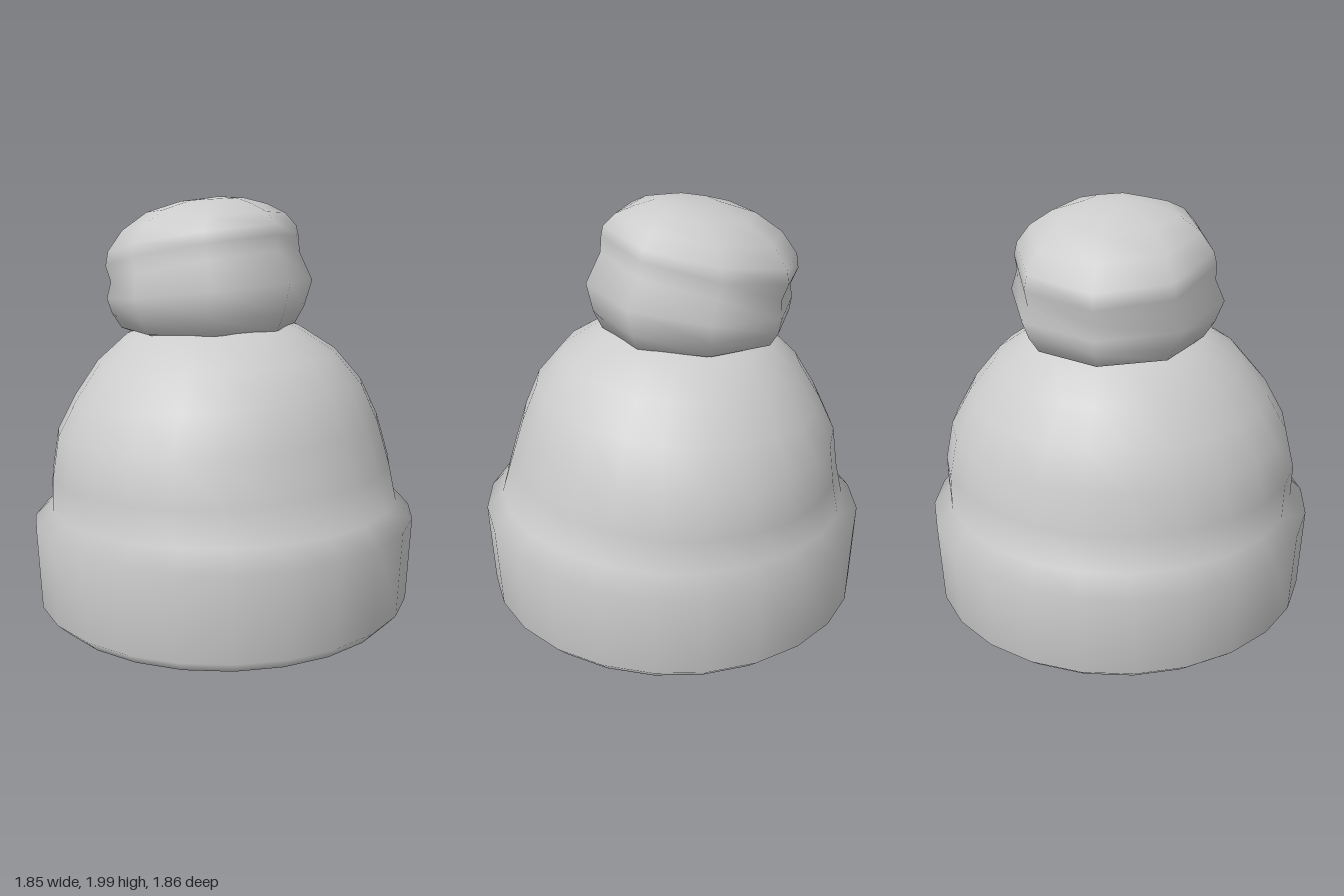
import * as THREE from 'three';

// Skin a stack of tilted elliptical rings: [centreX, y, radiusX, radiusZ, slope along x].
// Radius 0 collapses a ring to a single pole point.
function skinRings(rings, sides) {
  const positions = [], index = [], starts = [];
  for (const [cx, y, rx, rz, slope] of rings) {
    starts.push(positions.length / 3);
    const count = rx === 0 ? 1 : sides;
    for (let i = 0; i < count; i++) {
      const a = (i / sides) * Math.PI * 2;
      const dx = Math.cos(a) * rx;
      positions.push(cx + dx, y + dx * slope, Math.sin(a) * rz);
    }
  }
  for (let r = 0; r < rings.length - 1; r++) {
    const lowPole = rings[r][2] === 0, highPole = rings[r + 1][2] === 0;
    for (let i = 0; i < sides; i++) {
      const j = (i + 1) % sides;
      const a = starts[r] + (lowPole ? 0 : i), b = starts[r] + (lowPole ? 0 : j);
      const c = starts[r + 1] + (highPole ? 0 : i), d = starts[r + 1] + (highPole ? 0 : j);
      if (!highPole) index.push(a, c, d);
      if (!lowPole) index.push(a, d, b);
    }
  }
  const geometry = new THREE.BufferGeometry();
  geometry.setAttribute('position', new THREE.Float32BufferAttribute(positions, 3));
  geometry.setIndex(index);
  geometry.computeVertexNormals();
  return geometry;
}

export function createModel() {
  const group = new THREE.Group();
  group.name = 'bobbleHat';
  const wool = new THREE.MeshStandardMaterial({ color: 0xcccccc });
  wool.name = 'light grey wool';

  // Cap: bowl-shaped lining downwards, round the lip, up the cuff and over the crown
  const cap = new THREE.Mesh(skinRings([
    [0, 0.47, 0, 0, 0],
    [0, 0.44, 0.30, 0.30, 0.01],
    [0, 0.36, 0.52, 0.52, 0.01],
    [0, 0.23, 0.67, 0.67, 0.01],
    [0, 0.06, 0.75, 0.75, 0.01],
    [0, 0.015, 0.79, 0.79, 0.006],
    [0, 0.012, 0.85, 0.85, 0.008],
    [-0.005, 0.07, 0.91, 0.91, 0.01],
    [-0.003, 0.47, 0.927, 0.93, 0.022],
    [-0.003, 0.555, 0.845, 0.85, 0.025],
    [-0.01, 0.72, 0.80, 0.855, 0.03],
    [-0.03, 0.92, 0.755, 0.81, 0.04],
    [-0.03, 1.09, 0.68, 0.715, 0.06],
    [-0.045, 1.25, 0.565, 0.585, 0.06],
    [-0.07, 1.37, 0.41, 0.42, 0.06],
    [-0.08, 1.44, 0.2, 0.2, 0.05],
    [-0.08, 1.46, 0, 0, 0],
  ], 24), wool);
  cap.name = 'capWithCuff';
  group.add(cap);

  // Eight-sided lopsided bobble with a soft groove round its middle
  const bobble = new THREE.Mesh(skinRings([
    [-0.09, 1.345, 0, 0, 0],
    [-0.09, 1.35, 0.30, 0.30, 0.08],
    [-0.10, 1.385, 0.43, 0.41, 0.035],
    [-0.10, 1.46, 0.47, 0.46, 0.05],
    [-0.09, 1.56, 0.49, 0.50, 0.12],
    [-0.12, 1.665, 0.45, 0.46, 0.22],
    [-0.14, 1.74, 0.465, 0.465, 0.21],
    [-0.14, 1.80, 0.455, 0.45, 0.19],
    [-0.13, 1.88, 0.39, 0.39, 0.15],
    [-0.11, 1.945, 0.28, 0.29, 0.1],
    [-0.07, 1.985, 0.15, 0.15, 0.07],
    [-0.03, 2.0, 0, 0, 0],
  ], 8), wool);
  bobble.name = 'bobble';
  group.add(bobble);

  return group;
}
